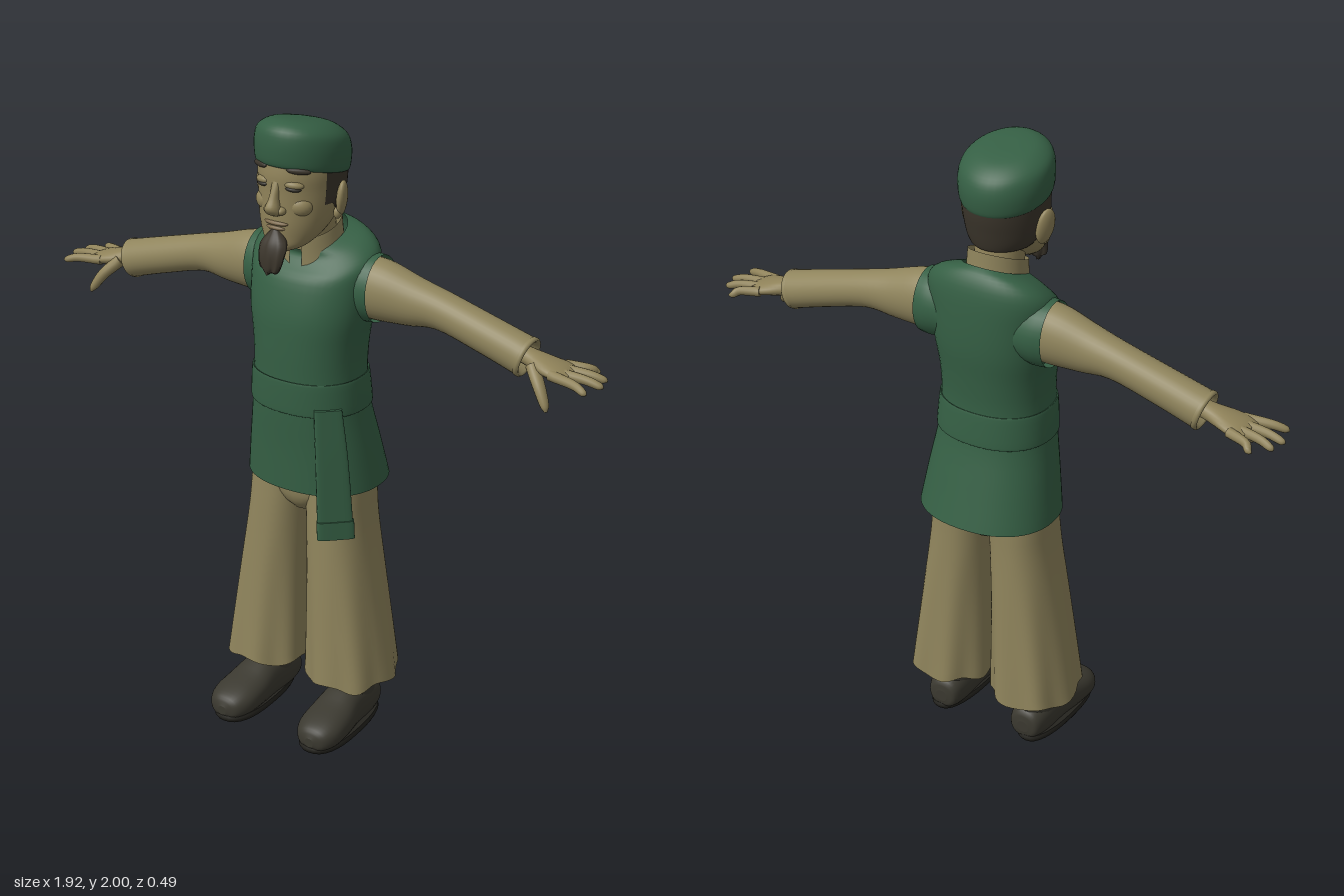
import * as THREE from 'three';

const mat = (name, color, side = THREE.FrontSide) => {
  const m = new THREE.MeshStandardMaterial({ color, side });
  m.name = name;
  return m;
};
const UP = [0, 1, 0];

// Smooth loft through rows [x, y, z, radiusA, radiusB].
// ref: direction of radiusB; dir: fixed ring normal (otherwise the path tangent);
// pow: superellipse power; arc: angle range; caps: close the ends; warp: moves each point.
function sweep(rows, { ref = [0, 0, 1], dir = null, n = 32, sub = 4, pow = 2, arc = null, caps = false, warp = null } = {}) {
  const path = new THREE.CatmullRomCurve3(rows.map(r => new THREE.Vector3(r[0], r[1], r[2])), false, 'catmullrom');
  const radii = new THREE.CatmullRomCurve3(rows.map(r => new THREE.Vector3(r[3], r[4], 0)), false, 'catmullrom');
  const steps = (rows.length - 1) * sub, cols = arc ? n + 1 : n;
  const pos = [], idx = [], [a0, a1] = arc || [0, Math.PI * 2];
  const se = v => Math.sign(v) * Math.abs(v) ** (2 / pow);
  for (let i = 0; i <= steps; i++) {
    const t = i / steps, c = path.getPoint(t), r = radii.getPoint(t);
    const d = dir ? new THREE.Vector3(...dir) : path.getTangent(t);
    const b = new THREE.Vector3(...ref).addScaledVector(d, -d.dot(new THREE.Vector3(...ref))).normalize();
    const a = d.clone().cross(b);
    for (let j = 0; j < cols; j++) {
      const ang = a0 + (a1 - a0) * j / n;
      const p = c.clone().addScaledVector(a, se(Math.cos(ang)) * r.x).addScaledVector(b, se(Math.sin(ang)) * r.y);
      if (warp) warp(p, t, ang, c);
      pos.push(p.x, p.y, p.z);
    }
  }
  for (let i = 0; i < steps; i++) for (let j = 0; j < n; j++) {
    const p = i * cols + j, q = i * cols + (j + 1) % cols;
    idx.push(p, p + cols, q, q, p + cols, q + cols);
  }
  if (caps) for (const row of [0, steps]) {
    const start = pos.length / 3, mid = [0, 0, 0];
    for (let j = 0; j < n; j++) for (let k = 0; k < 3; k++) {
      const v = pos[(row * cols + j) * 3 + k];
      pos.push(v);
      mid[k] += v / n;
    }
    pos.push(...mid);
    for (let j = 0; j < n; j++) {
      const p = start + j, q = start + (j + 1) % n;
      idx.push(start + n, ...(row ? [q, p] : [p, q]));
    }
  }
  const g = new THREE.BufferGeometry();
  g.setAttribute('position', new THREE.Float32BufferAttribute(pos, 3));
  g.setIndex(idx);
  g.computeVertexNormals();
  return g;
}

// Ellipsoid with radii r at position p, turned by rot
function blob(p, r, rot = [0, 0, 0]) {
  const g = new THREE.SphereGeometry(1, 20, 14);
  g.scale(...r);
  g.applyMatrix4(new THREE.Matrix4().makeRotationFromEuler(new THREE.Euler(...rot)));
  return g.translate(...p);
}

// Copy reflected across x = 0, with the corner order turned back
function mirrored(g) {
  const m = g.clone().scale(-1, 1, 1), i = m.index.array;
  for (let k = 0; k < i.length; k += 3) [i[k + 1], i[k + 2]] = [i[k + 2], i[k + 1]];
  m.computeVertexNormals();
  return m;
}

export function createModel() {
  const root = new THREE.Group();
  root.name = 'robedMan';
  const green = mat('greenCloth', 0x355f44, THREE.DoubleSide);
  const tan = mat('tanCloth', 0x8f845c, THREE.DoubleSide);
  const skin = mat('skin', 0x8f8259);
  const lipTone = mat('lips', 0x7d6a4c);
  const hairTone = mat('darkHair', 0x3b352b, THREE.DoubleSide);
  const leather = mat('bootLeather', 0x3b3930);
  const soleTone = mat('bootSole', 0x24231e);
  const eyeTone = mat('eyes', 0x35322a);
  const add = (name, g, m) => {
    const mesh = new THREE.Mesh(g, m);
    mesh.name = name;
    root.add(mesh);
  };
  const pair = (name, g, m) => {
    add(name + 'Left', g, m);
    add(name + 'Right', mirrored(g), m);
  };

  // Tunic: flared skirt, narrow waist, sloping neckline
  add('tunic', sweep([
    [0, .83, -.055, .222, .185], [0, .96, -.035, .204, .168], [0, 1.09, -.015, .183, .154],
    [0, 1.2, -.01, .174, .149], [0, 1.3, -.0125, .178, .152], [0, 1.4, -.02, .193, .155],
    [0, 1.5, -.032, .2, .143], [0, 1.565, -.045, .205, .122], [0, 1.605, -.045, .165, .1],
    [0, 1.63, -.03, .095, .09]], {
    dir: UP, n: 48, pow: 2.25,
    warp: p => { p.y -= (p.z + .04) * .4 * THREE.MathUtils.smoothstep(p.y, 1.5, 1.63); }
  }), green);
  pair('armhole', sweep([[.13, 1.475, -.055, .092, .1], [.18, 1.475, -.055, .094, .106], [.218, 1.475, -.055, .088, .104]],
    { ref: UP, dir: [1, 0, 0] }), green);

  // Belt and hanging sash
  add('belt', sweep([[0, 1.093, -.015, .184, .155], [0, 1.1, -.015, .188, .159], [0, 1.19, -.01, .181, .155], [0, 1.197, -.01, .175, .15]],
    { dir: UP, n: 48, pow: 2.25 }), green);
  const sash = { ref: [.68, 0, .73], dir: UP, pow: 5, caps: true };
  add('sash', sweep([[.135, 1.12, .1, .042, .012], [.15, .95, .1, .05, .013], [.166, .7, .1, .056, .012]].reverse(), sash), green);
  add('sashEnd', sweep([[.166, .698, .1, .058, .015], [.164, .757, .1, .057, .015]], sash), green);

  // Wide trousers with wavy hems
  pair('trouserLeg', sweep([
    [.149, .17, -.026, .135, .152], [.14, .3, -.026, .126, .146], [.125, .5, -.026, .111, .137],
    [.108, .7, -.027, .099, .127], [.1, .82, -.03, .098, .122], [.095, .95, -.03, .09, .115]], {
    dir: UP, n: 56, pow: 2.3,
    warp: (p, t, ang, c) => {
      const f = Math.max(0, 1 - t * 1.8), k = 1 + .045 * f * Math.cos(7 * ang + .6);
      p.x = Math.max(.008, c.x + (p.x - c.x) * k);
      p.z = c.z + (p.z - c.z) * k;
      p.y += .008 * f * Math.sin(5 * ang);
    }
  }), tan);
  add('trouserSeat', sweep([[0, .735, -.03, .05, .085], [0, .77, -.03, .12, .112], [0, .83, -.03, .192, .124], [0, 1, -.025, .175, .125]],
    { dir: UP }), tan);

  // Boots
  pair('bootFoot', sweep([
    [.155, .055, -.121, .02, .02], [.155, .06, -.11, .05, .05], [.157, .065, -.05, .063, .068],
    [.16, .07, .04, .067, .075], [.164, .06, .12, .076, .06], [.167, .052, .19, .075, .05],
    [.168, .045, .235, .052, .037], [.168, .04, .25, .015, .015]], {
    ref: UP, dir: [0, 0, 1], pow: 2.3, caps: true, warp: p => { p.y = Math.max(p.y, .012); }
  }), leather);
  pair('bootShaft', sweep([[.157, .04, -.03, .06, .085], [.157, .11, -.018, .062, .09], [.16, .16, -.022, .06, .08], [.158, .3, -.025, .06, .075]],
    { dir: UP, caps: true }), leather);
  pair('bootSole', sweep([[.164, 0, .064, .074, .18], [.164, .012, .064, .08, .187], [.164, .024, .064, .077, .184]], {
    dir: UP, pow: 2.5, caps: true,
    warp: (p, t, ang, c) => { p.x = c.x + (p.x - c.x) * (.9 + .6 * Math.max(-.2, Math.min(.17, p.z - .03))); }
  }), soleTone);

  // Sleeves with open cuffs
  pair('sleeve', sweep([
    [.13, 1.48, -.05, .076, .09], [.22, 1.475, -.052, .077, .095], [.32, 1.463, -.055, .066, .079],
    [.43, 1.452, -.06, .057, .059], [.58, 1.412, -.06, .057, .058], [.71, 1.374, -.06, .06, .06]],
    { ref: UP }), tan);
  pair('cuff', sweep([[.702, 1.376, -.06, .062, .062], [.714, 1.373, -.06, .062, .062], [.714, 1.373, -.06, .05, .05], [.66, 1.39, -.06, .03, .03]],
    { ref: UP, dir: [.96, -.28, 0], sub: 2 }), tan);

  // Hands
  pair('palm', sweep([
    [.64, 1.395, -.06, .028, .026], [.72, 1.378, -.06, .032, .026], [.775, 1.366, -.058, .05, .025],
    [.825, 1.357, -.06, .06, .02], [.855, 1.352, -.062, .05, .012]], { ref: UP, n: 20, caps: true }), skin);
  [[-.108, .9, -.15], [-.077, .946, -.104], [-.045, .958, -.055], [-.015, .94, .014]].forEach(([z, tx, tz], i) => {
    const mx = (.82 + tx) / 2 + .01, mz = (z + tz) / 2;
    pair('finger' + (i + 1), sweep([
      [.81, 1.358, z, .016, .016], [mx, 1.354, mz, .013, .014], [tx - .012, 1.344, tz - (tz - z) * .1, .011, .011], [tx, 1.34, tz, .003, .003]],
      { ref: UP, n: 12, caps: true }), skin);
  });
  pair('thumb', sweep([[.745, 1.366, -.03, .02, .022], [.785, 1.325, .002, .018, .02], [.815, 1.28, .02, .013, .014], [.824, 1.262, .026, .004, .004]],
    { ref: [0, 0, 1], n: 12, caps: true }), skin);

  // Neck and open standing collar
  add('neck', sweep([[0, 1.48, -.04, .09, .08], [0, 1.6, -.018, .076, .074], [0, 1.74, .01, .078, .08]], { dir: UP }), skin);
  add('collar', sweep([[0, 1.565, -.018, .1, .094], [0, 1.61, -.016, .094, .09], [0, 1.665, -.014, .09, .088]], {
    dir: UP, arc: [Math.PI / 2 + .22, Math.PI * 2.5 - .22],
    warp: p => { p.y -= (p.z + .015) * .4; }
  }), tan);

  // Head
  add('head', sweep([
    [0, 1.612, .132, .02, .02], [0, 1.63, .115, .06, .056], [0, 1.66, .085, .088, .089],
    [0, 1.7, .06, .107, .117], [0, 1.75, .046, .117, .13], [0, 1.8, .04, .121, .135],
    [0, 1.85, .035, .125, .14], [0, 1.92, .03, .12, .13]], { dir: UP, n: 40, caps: true }), skin);
  pair('ear', blob([.133, 1.765, .028], [.016, .056, .032], [.15, .35, -.15]), skin);
  pair('earLobe', blob([.126, 1.722, .04], [.012, .018, .014]), skin);
  add('nose', sweep([
    [0, 1.728, .176, .012, .008], [0, 1.737, .18, .026, .02], [0, 1.757, .187, .022, .025],
    [0, 1.785, .178, .014, .018], [0, 1.83, .166, .013, .01]], { dir: UP, n: 16, caps: true }), skin);
  pair('nostril', blob([.023, 1.745, .175], [.013, .012, .017]), skin);
  pair('cheek', blob([.062, 1.755, .135], [.036, .03, .025], [0, .5, 0]), skin);
  pair('eyelid', blob([.052, 1.823, .154], [.03, .013, .017], [0, .35, -.08]), skin);
  pair('eye', blob([.052, 1.812, .158], [.024, .008, .014], [0, .35, -.08]), eyeTone);
  pair('eyebrow', blob([.066, 1.866, .151], [.036, .01, .01], [0, .5, -.08]), hairTone);
  add('upperLip', blob([0, 1.705, .166], [.042, .009, .017]), lipTone);
  add('lowerLip', blob([0, 1.69, .166], [.034, .009, .016]), lipTone);

  // Goatee
  add('beard', sweep([
    [0, 1.558, .203, .012, .004], [0, 1.575, .201, .034, .011], [0, 1.61, .195, .044, .017],
    [0, 1.645, .182, .044, .022], [0, 1.675, .17, .022, .018], [0, 1.692, .168, .008, .01]], {
    dir: UP, n: 28, caps: true,
    warp: (p, t, ang) => { p.z += .004 * Math.cos(ang * 8) * (1 - t); p.y += .006 * Math.sin(p.x * 190) * Math.max(0, 1 - 2 * t); }
  }), hairTone);

  // Hair round the back, shorter at the sideburns
  add('hair', sweep([
    [0, 1.69, .025, .09, .108], [0, 1.72, .035, .112, .127], [0, 1.76, .036, .122, .136],
    [0, 1.81, .034, .127, .142], [0, 1.88, .032, .129, .142]], {
    dir: UP, arc: [Math.PI - .38, Math.PI * 2 + .38],
    warp: p => { p.y = Math.max(p.y, p.z > .05 ? 1.755 : 1.7 + .04 * THREE.MathUtils.smoothstep(p.z, -.02, .05)); }
  }), hairTone);

  // Soft cap, raised at the front
  add('cap', sweep([
    [0, 1.855, .034, .118, .126], [0, 1.843, .034, .13, .138], [0, 1.862, .033, .137, .146],
    [0, 1.91, .032, .139, .148], [0, 1.95, .034, .128, .136], [0, 1.976, .037, .092, .1],
    [0, 1.985, .04, .045, .05], [0, 1.986, .04, .002, .002]], {
    dir: UP, n: 40, caps: true, warp: p => { p.y += (p.z - .034) * .21; }
  }), green);

  return root;
}
